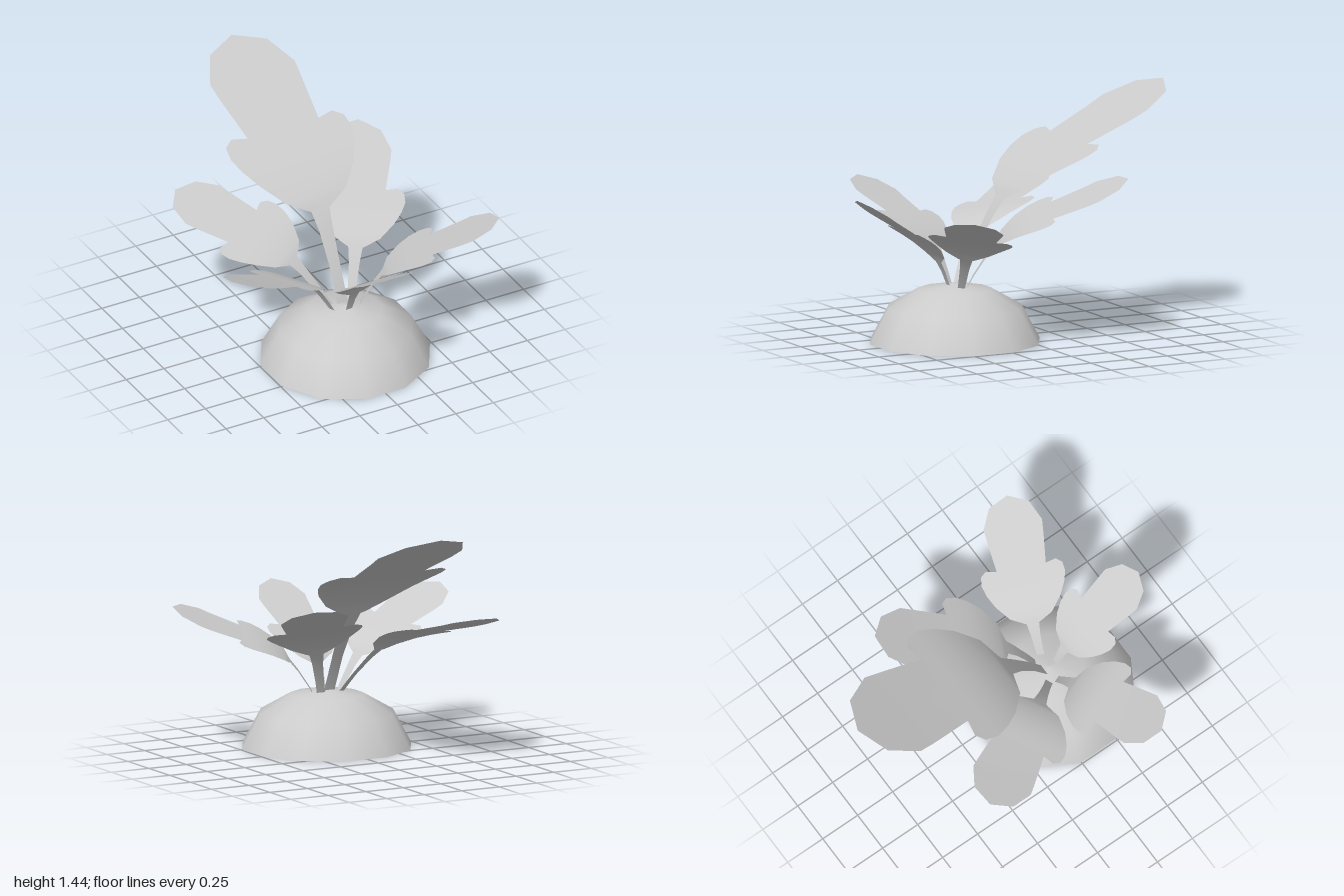
import * as THREE from 'three';

const CENTRE_Z = 0.37;
const material = new THREE.MeshStandardMaterial({ color: 0xcccccc, side: THREE.DoubleSide });

// Leaf cross-sections from root to tip: [forward, up, half width]
const leafRows = [
  [-0.02, 0, 0.035], [0, 0.15, 0.035], [0.035, 0.29, 0.035], [0.13, 0.5, 0.035], [0.23, 0.68, 0.045], // stem
  [0.3, 0.78, 0.06], [0.31, 0.79, 0.085], [0.35, 0.85, 0.2], [0.46, 0.94, 0.31], [0.56, 1.0, 0.37], // widening base
  [0.65, 1.045, 0.4], [0.73, 1.08, 0.39], // side lobes
  [0.75, 1.09, 0.235], // notch
  [1.02, 1.215, 0.27], [1.12, 1.267, 0.28], [1.29, 1.35, 0.19], [1.37, 1.39, 0], // rounded end
];
const NOTCH_ROW = 12;
const lobeTip = [0.77, 1.1, 0.335];

function leafGeometry() {
  const positions = [];
  const index = [];
  const addPair = ([forward, up, half]) => positions.push(-half, up, forward, half, up, forward);
  leafRows.forEach((row, i) => {
    addPair(row);
    if (i === 0) return;
    const a = 2 * i - 2;
    index.push(a, a + 2, a + 1, a + 1, a + 2, a + 3);
  });
  // Lobe tips beside the notch
  const lobe = 2 * leafRows.length;
  const notch = 2 * NOTCH_ROW;
  addPair(lobeTip);
  index.push(notch - 2, lobe, notch, notch - 1, notch + 1, lobe + 1);

  const geometry = new THREE.BufferGeometry();
  geometry.setAttribute('position', new THREE.Float32BufferAttribute(positions, 3));
  geometry.setIndex(index);
  geometry.computeVertexNormals();
  return geometry;
}

export function createModel() {
  const model = new THREE.Group();
  model.name = 'leafyPlant';

  // Open, twelve-sided mound
  const profile = [[0.507, 0], [0.398, 0.203], [0.217, 0.308], [0, 0.343]];
  const mound = new THREE.Mesh(
    new THREE.LatheGeometry(profile.map(([r, y]) => new THREE.Vector2(r, y)), 12, Math.PI / 12),
    material,
  );
  mound.name = 'mound';
  mound.position.z = CENTRE_Z;
  model.add(mound);

  // Leaves fan out around the mound: [name, heading, pitch, roll, size, root height]
  const leaves = [
    ['backLeaf', 180, 0, 0, 1, 0.05],
    ['frontLeaf', 1, 7.5, 0, 0.55, 0.03],
    ['backLeftLeaf', 147, -3, 10, 0.705, 0.05],
    ['backRightLeaf', -144, -12, -12, 0.67, 0.12],
    ['leftLeaf', 70, -4, -10, 0.62, 0.05],
    ['rightLeaf', -77.5, -3, 10, 0.61, 0.06],
  ];
  const geometry = leafGeometry();
  const leafAxis = new THREE.Vector3(0, 1, 1).normalize();
  const rad = THREE.MathUtils.degToRad;
  for (const [name, heading, pitch, roll, size, rootY] of leaves) {
    const leaf = new THREE.Mesh(geometry, material);
    leaf.name = name;
    leaf.position.set(0, rootY, CENTRE_Z);
    leaf.rotation.set(-rad(pitch), rad(heading), 0, 'YXZ');
    leaf.rotateOnAxis(leafAxis, rad(roll));
    leaf.scale.setScalar(size);
    model.add(leaf);
  }
  return model;
}
